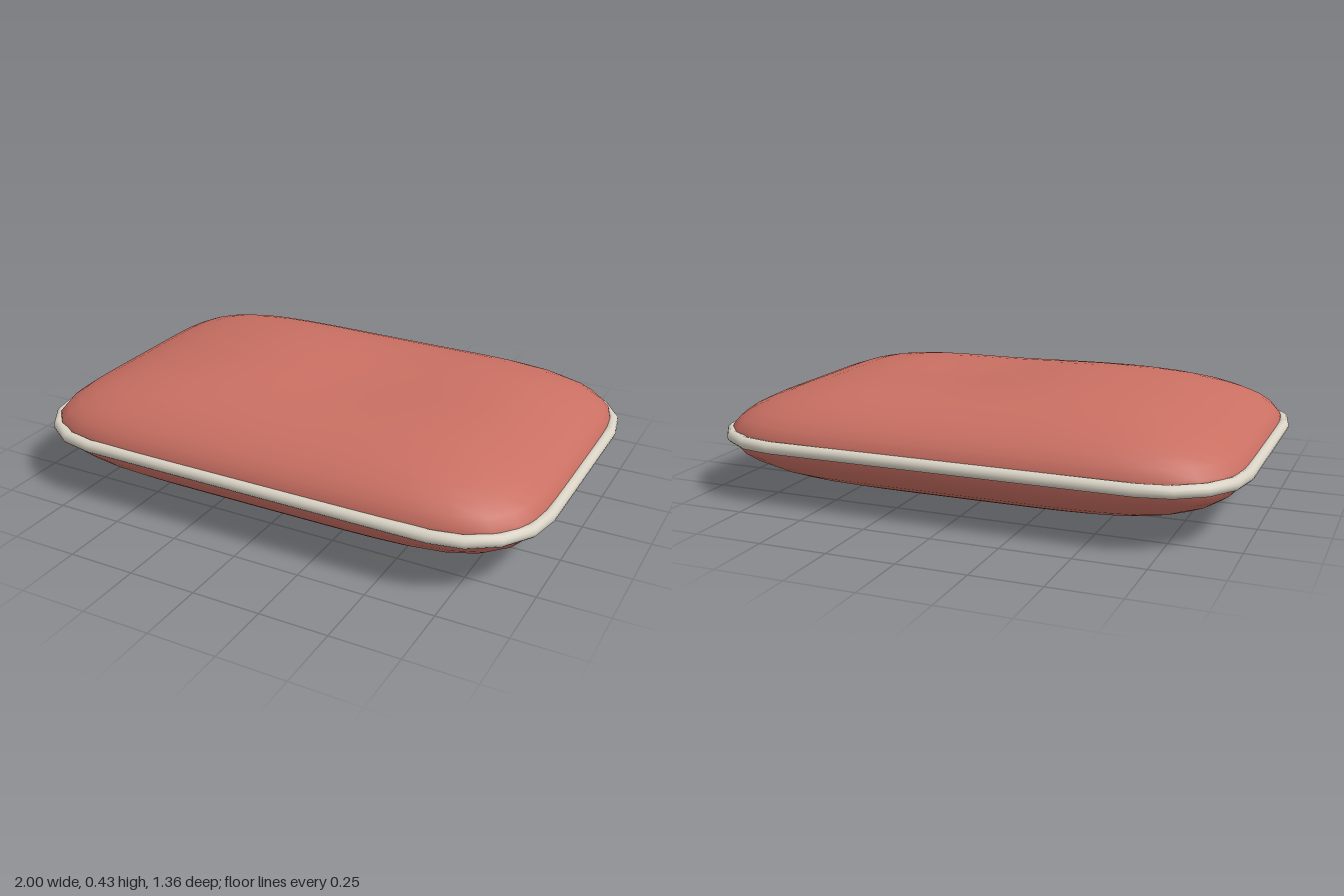
import * as THREE from 'three';
import { mergeVertices } from 'three/addons/utils/BufferGeometryUtils.js';

const MID = 0.225; // height of the seam

// Sphere reshaped into a pillow: rounded-rectangle rings, domed top and bottom, soft dent on top
function cushionGeometry() {
  let geo = new THREE.SphereGeometry(1, 64, 24);
  geo.deleteAttribute('uv');
  geo.deleteAttribute('normal');
  geo = mergeVertices(geo);
  const p = geo.attributes.position;
  for (let i = 0; i < p.count; i++) {
    const t = Math.min(1, Math.hypot(p.getX(i), p.getZ(i)));
    const a = Math.atan2(p.getZ(i), p.getX(i));
    const n = 3.5 + 2.5 * t; // rings get squarer towards the rim
    const k = t * Math.pow(Math.abs(Math.cos(a)) ** n + Math.abs(Math.sin(a)) ** n, -1 / n);
    const x = 0.975 * k * Math.cos(a);
    const z = 0.655 * k * Math.sin(a);
    let y = Math.sign(p.getY(i)) * 0.221 * Math.sqrt(Math.max(0, 1 - t ** 2.5));
    if (y > 0) y -= 0.04 * (y / 0.221) * Math.exp(-((x - 0.2) ** 2 + z * z) / 0.1225);
    p.setXYZ(i, x, MID + y, z);
  }
  geo.computeVertexNormals();
  return geo;
}

// Round cord swept along a rounded rectangle with four segments per corner
function pipingGeometry() {
  const R = 0.3, r = 0.023, sides = 12, steps = 4;
  const pos = [], idx = [];
  const corners = [[1, 1], [-1, 1], [-1, -1], [1, -1]];
  corners.forEach(([sx, sz], c) => {
    for (let s = 0; s <= steps; s++) {
      const a = (c + s / steps) * Math.PI / 2;
      for (let j = 0; j < sides; j++) {
        const f = j / sides * Math.PI * 2;
        const d = R + r * Math.cos(f);
        pos.push(sx * 0.677 + d * Math.cos(a), MID + r * Math.sin(f), sz * 0.355 + d * Math.sin(a));
      }
    }
  });
  const rings = pos.length / 3 / sides;
  for (let i = 0; i < rings; i++) {
    for (let j = 0; j < sides; j++) {
      const i2 = (i + 1) % rings, j2 = (j + 1) % sides;
      const a = i * sides + j, b = i * sides + j2, c = i2 * sides + j2, d = i2 * sides + j;
      idx.push(a, b, c, a, c, d);
    }
  }
  const geo = new THREE.BufferGeometry();
  geo.setAttribute('position', new THREE.Float32BufferAttribute(pos, 3));
  geo.setIndex(idx);
  geo.computeVertexNormals();
  return geo;
}

export function createModel() {
  const fabric = new THREE.MeshStandardMaterial({ color: 0xc96f62 });
  fabric.name = 'coral fabric';
  const cord = new THREE.MeshStandardMaterial({ color: 0xd9d3c5 });
  cord.name = 'cream cord';

  const group = new THREE.Group();
  group.name = 'cushion';
  const add = (name, geo, mat) => {
    const mesh = new THREE.Mesh(geo, mat);
    mesh.name = name;
    group.add(mesh);
  };
  add('cushionBody', cushionGeometry(), fabric);
  add('piping', pipingGeometry(), cord);
  return group;
}
